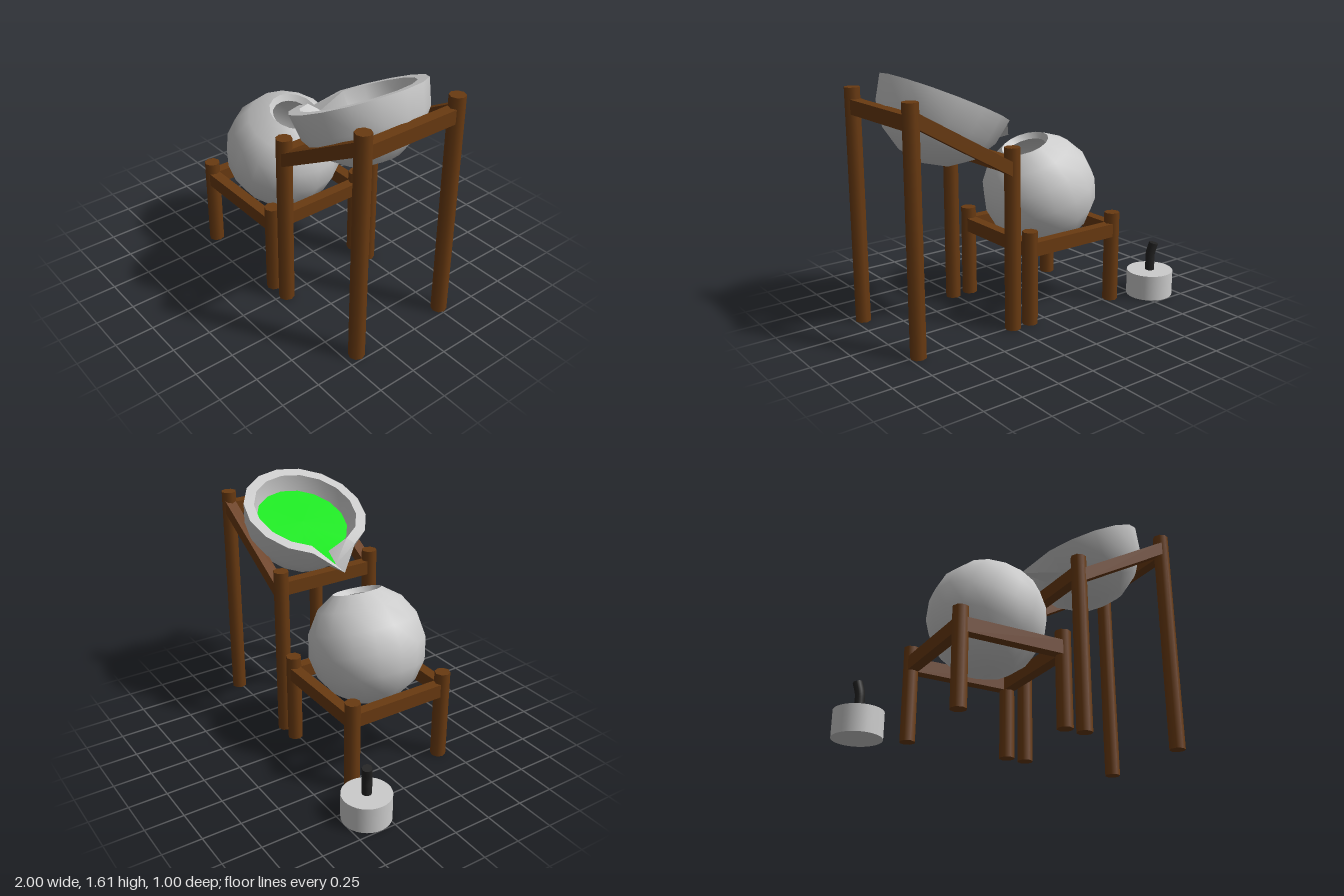
import * as THREE from 'three';
import { toCreasedNormals } from 'three/addons/utils/BufferGeometryUtils.js';

const mat = (color, side = THREE.FrontSide) => new THREE.MeshStandardMaterial({ color, side });
const wood = mat(0x693a11);
const stone = mat(0xcccccc);
const shell = mat(0xcccccc, THREE.DoubleSide);
const green = mat(0x10e718, THREE.DoubleSide);
const black = mat(0x222222);

const Z0 = -0.26, Z1 = 0.42, ZC = 0.08;
const SIDES = 16;

function add(parent, name, geometry, material, x = 0, y = 0, z = 0) {
  const mesh = new THREE.Mesh(geometry, material);
  mesh.name = name;
  mesh.position.set(x, y, z);
  parent.add(mesh);
  return mesh;
}

// Four posts joined by two end rails and two (possibly sloping) side rails.
// Each end is { x, height, railY, sideY }.
function makeStand(name, ends) {
  const stand = new THREE.Group();
  stand.name = name;
  for (const e of ends) {
    for (const z of [Z0, Z1]) {
      add(stand, 'post', new THREE.CylinderGeometry(0.05, 0.05, e.height, 8), wood, e.x, e.height / 2, z);
    }
    add(stand, 'endRail', new THREE.BoxGeometry(0.07, 0.09, Z1 - Z0), wood, e.x, e.railY, ZC);
  }
  const [a, b] = ends;
  const dx = b.x - a.x, dy = b.sideY - a.sideY;
  const slope = Math.atan2(dy, dx);
  for (const z of [Z0 - 0.005, Z1 + 0.005]) {
    const rail = add(stand, 'sideRail',
      new THREE.BoxGeometry(Math.hypot(dx, dy), 0.09 * Math.cos(slope), 0.07), wood,
      (a.x + b.x) / 2, (a.sideY + b.sideY) / 2, z);
    rail.rotation.z = slope;
  }
  return stand;
}

// Hollow round pot with a thick-edged opening.
function makePot() {
  const R = 0.378, inner = 0.335, steps = 7;
  const open = THREE.MathUtils.degToRad(24.5);
  const profile = [];
  const arc = (r, i, start) => {
    const t = Math.PI - (Math.PI - start) * i / steps;
    profile.push(new THREE.Vector2(Math.max(0, r * Math.sin(t)), r * Math.cos(t)));
  };
  for (let i = 0; i <= steps; i++) arc(R, i, open);
  for (let i = steps; i >= 0; i--) arc(inner, i, Math.asin(0.128 / inner));
  return toCreasedNormals(new THREE.LatheGeometry(profile, SIDES), 0.6);
}

// Ring of points whose -x point can be pulled out into a pouring tip.
function ring(r, y, tip) {
  return Array.from({ length: SIDES }, (_, i) => {
    const a = i * 2 * Math.PI / SIDES;
    return i === 0 && tip ? [tip[0], tip[1], 0] : [-r * Math.cos(a), y, r * Math.sin(a)];
  });
}

// Skin over successive rings.
function loft(rings) {
  const index = [];
  for (let k = 0; k < rings.length - 1; k++) {
    for (let i = 0; i < SIDES; i++) {
      const j = (i + 1) % SIDES;
      const a = k * SIDES + i, b = k * SIDES + j;
      index.push(a, b, a + SIDES, b, b + SIDES, a + SIDES);
    }
  }
  const g = new THREE.BufferGeometry();
  g.setAttribute('position', new THREE.Float32BufferAttribute(rings.flat(2), 3));
  g.setIndex(index);
  return toCreasedNormals(g, 0.6);
}

// Tilted bowl with a pointed spout, holding liquid.
function makeBowl() {
  const bowl = new THREE.Group();
  bowl.name = 'pouringBowl';
  const R = 0.413, innerTip = [-0.44, -0.09];
  const rings = [];
  for (let i = 4; i >= 0; i--) {
    const t = i * Math.PI / 8;
    rings.push(ring(R * Math.cos(t), -R * Math.sin(t), i === 0 ? [-0.546, -0.06] : null));
  }
  rings.push(ring(0.345, 0, innerTip), ring(0.31, -0.115), ring(0.24, -0.24), ring(0, -0.34));
  add(bowl, 'bowlShell', loft(rings), shell);
  add(bowl, 'liquid', loft([ring(0.309, -0.108, [-0.438, -0.088]), ring(0, -0.108)]), green);
  bowl.position.set(0.508, 1.434, ZC);
  bowl.rotation.z = THREE.MathUtils.degToRad(25);
  return bowl;
}

// Squat jar with a bent wick.
function makeBurner() {
  const burner = new THREE.Group();
  burner.name = 'burner';
  burner.position.set(-0.845, 0, -0.348);
  add(burner, 'jar', new THREE.CylinderGeometry(0.155, 0.155, 0.17, 32), stone, 0, 0.085, 0);
  const path = new THREE.CatmullRomCurve3([
    [0, 0.15, 0], [0, 0.22, 0], [0, 0.28, 0], [-0.016, 0.36, -0.012],
  ].map(p => new THREE.Vector3(...p)));
  add(burner, 'wick', new THREE.TubeGeometry(path, 12, 0.031, 10), black);
  const cap = add(burner, 'wickEnd', new THREE.CircleGeometry(0.031, 10), black);
  cap.position.copy(path.getPoint(1));
  cap.quaternion.setFromUnitVectors(new THREE.Vector3(0, 0, 1), path.getTangent(1));
  return burner;
}

export function createModel() {
  const model = new THREE.Group();
  model.name = 'pouringStation';
  model.add(makeStand('lowStand', [
    { x: -0.56, height: 0.61, railY: 0.495, sideY: 0.495 },
    { x: 0.125, height: 0.61, railY: 0.495, sideY: 0.495 },
  ]));
  model.add(makeStand('tallStand', [
    { x: 0.26, height: 1.16, railY: 1.045, sideY: 1.02 },
    { x: 0.945, height: 1.5, railY: 1.385, sideY: 1.41 },
  ]));
  const pot = add(model, 'roundPot', makePot(), shell, -0.212, 0.753, ZC);
  pot.rotation.z = THREE.MathUtils.degToRad(-20);
  model.add(makeBowl(), makeBurner());
  return model;
}
